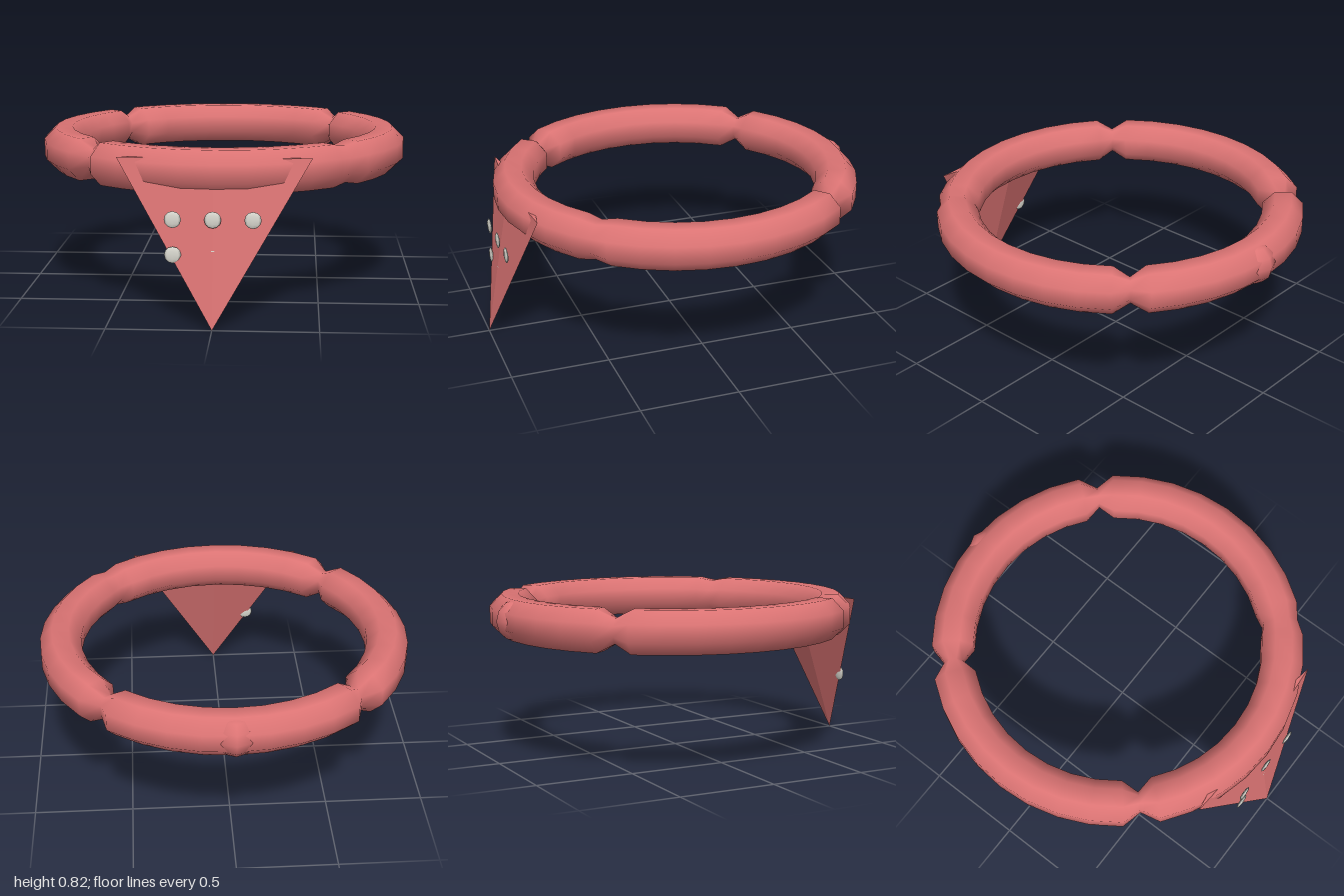
import * as THREE from 'three';

const clothRed = new THREE.MeshStandardMaterial({ name: 'coral cloth', color: 0xdc7474 });
const dotWhite = new THREE.MeshStandardMaterial({ name: 'off-white dots', color: 0xdad9d0 });

function surface(points, indices) {
  const g = new THREE.BufferGeometry();
  g.setAttribute('position', new THREE.Float32BufferAttribute(points.flat(), 3));
  g.setIndex(indices);
  return g;
}

function add(parent, name, geometry, material, x = 0, y = 0, z = 0) {
  const mesh = new THREE.Mesh(geometry, material);
  mesh.name = name;
  mesh.position.set(x, y, z);
  parent.add(mesh);
  return mesh;
}

// Rolled band: eight-sided tube in four arcs, pinched where the arcs meet
function bandGeometry() {
  const R = 0.84, r = 0.1135, sides = 8, step = 9.85;
  const sections = [];
  for (let q = 0; q < 4; q++) {
    for (let k = -4; k <= 4; k++) sections.push([q * 90 + k * step, r, r]);
    const mild = q === 0;
    sections.push([q * 90 + 45, mild ? 0.095 : 0.05, mild ? 0.097 : 0.065]);
  }
  const points = [], indices = [], n = sections.length;
  sections.forEach(([deg, radial, vertical], i) => {
    const a = THREE.MathUtils.degToRad(deg);
    for (let j = 0; j < sides; j++) {
      const b = (j + 0.5) * 2 * Math.PI / sides;
      const d = R + radial * Math.cos(b);
      points.push([d * Math.sin(a), vertical * Math.sin(b), d * Math.cos(a)]);
      const i2 = (i + 1) % n, j2 = (j + 1) % sides;
      const p = i * sides + j, s = i2 * sides + j, t = i2 * sides + j2, u = i * sides + j2;
      indices.push(p, s, t, p, t, u);
    }
  });
  const g = surface(points, indices);
  g.computeVertexNormals();
  return g;
}

// Hanging triangle: front ridge and a deeper back fold meeting at the tip
function flapGeometry() {
  const points = [
    [-0.46, 0.785, 0.825], [0.46, 0.785, 0.825], // upper corners
    [0, 0, 1],                                   // tip
    [0, 0.785, 0.86], [0, 0.785, 0.75],          // front and back of the fold
  ];
  const g = surface(points, [0, 2, 3, 3, 2, 1, 1, 2, 4, 4, 2, 0, 0, 3, 4, 3, 1, 4]).toNonIndexed();
  g.computeVertexNormals();
  return g;
}

export function createModel() {
  const model = new THREE.Group();
  model.name = 'neckerchief';

  add(model, 'band', bandGeometry(), clothRed, 0, 0.72, -0.03);
  add(model, 'flap', flapGeometry(), clothRed);

  // Knot at the back of the neck
  add(model, 'knot', new THREE.SphereGeometry(0.104, 8, 6), clothRed, 0, 0.72, -0.896);

  // Flattened dots on the flap
  const dot = new THREE.SphereGeometry(0.04, 8, 6);
  for (const [x, y] of [[-0.187, 0.51], [0, 0.51], [0.187, 0.51], [-0.187, 0.342], [0, 0.342]]) {
    add(model, 'dot', dot, dotWhite, x, y, 0.928).scale.z = 0.22;
  }
  return model;
}
